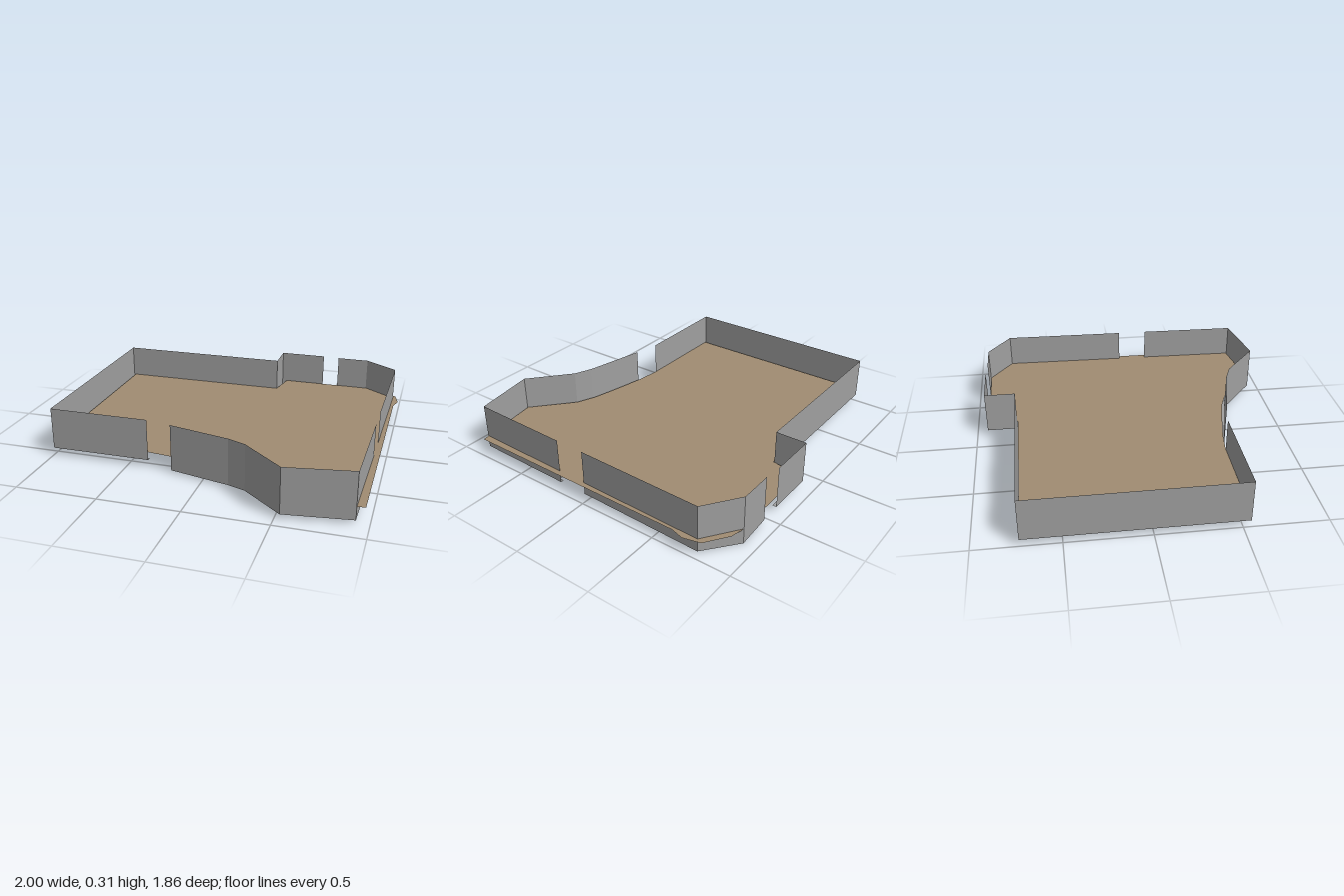
import * as THREE from 'three';

const grey = new THREE.MeshStandardMaterial({ color: 0xa0a0a0, side: THREE.DoubleSide, flatShading: true });
grey.name = 'wall grey';
const brown = new THREE.MeshStandardMaterial({ color: 0xa08c72, side: THREE.DoubleSide });
brown.name = 'floor brown';

const WALL_TOP = 0.308, WALL_BOTTOM = 0.045, FLOOR_Y = 0.098;

// Point list moved inwards by d, with mitred corners
function inset(path, d) {
  const normals = path.slice(1).map((p, i) => {
    const dx = p[0] - path[i][0], dz = p[1] - path[i][1], l = Math.hypot(dx, dz);
    return [-dz / l, dx / l];
  });
  return path.map((p, i) => {
    const a = normals[Math.max(0, i - 1)], b = normals[Math.min(i, normals.length - 1)];
    const k = d / (1 + a[0] * b[0] + a[1] * b[1]);
    return [p[0] + (a[0] + b[0]) * k, p[1] + (a[1] + b[1]) * k];
  });
}

// Strip between two rows of 3D points
function strip(name, rowA, rowB) {
  const pos = [], index = [];
  rowA.forEach((p, i) => {
    pos.push(...p, ...rowB[i]);
    if (i) {
      const k = 2 * i;
      index.push(k - 2, k - 1, k, k, k - 1, k + 1);
    }
  });
  const g = new THREE.BufferGeometry();
  g.setAttribute('position', new THREE.Float32BufferAttribute(pos, 3));
  g.setIndex(index);
  const flat = g.toNonIndexed();
  flat.computeVertexNormals();
  const m = new THREE.Mesh(flat, grey);
  m.name = name;
  return m;
}
const lift = (path, y) => path.map((p, i) => [p[0], Array.isArray(y) ? y[i] : y, p[1]]);

// Wall runs, broken by three doorways; skirt gives the lower edge heights
const runs = [
  { name: 'longCorner',
    path: [[-0.37, 0.545], [-1, 0.545], [-1, -0.735], [0.125, -0.735], [0.125, -0.93], [0.43, -0.93]] },
  { name: 'backCorner',
    path: [[0.54, -0.92], [0.75, -0.92], [0.96, -0.77], [0.943, 0.035]],
    skirt: [0.02, 0.0, 0.015, 0.02] },
  { name: 'frontCurve',
    path: [[0.94, 0.225], [0.925, 0.86], [0.53, 0.925], [0.28, 0.71], [0.17, 0.665], [0.04, 0.635], [-0.21, 0.578]],
    skirt: [0.02, 0.02, 0.028, 0.02, 0.016, 0.015, 0.015] },
];

export function createModel() {
  const model = new THREE.Group();
  model.name = 'walledFloor';

  for (const { name, path, skirt } of runs) {
    const group = new THREE.Group();
    group.name = name;
    group.add(strip('wall', lift(path, WALL_TOP), lift(path, WALL_BOTTOM)));
    group.add(strip('ledge', lift(path, WALL_BOTTOM), lift(inset(path, 0.025), WALL_BOTTOM)));
    if (skirt) {
      group.add(strip('skirt', lift(path, WALL_BOTTOM), lift(path, skirt)));
      group.add(strip('skirtLip', lift(path, skirt), lift(inset(path, 0.02), skirt)));
    }
    model.add(group);
  }

  // Small ledge triangle at the back notch
  model.add(strip('notchLedge',
    [[0.125, WALL_BOTTOM, -0.735], [0.125, WALL_BOTTOM, -0.93]],
    [[0.13, WALL_BOTTOM, -0.735], [0.175, WALL_BOTTOM, -0.93]]));

  // Floor sheet, slightly overhanging the right-hand wall
  const outline = [
    [-0.987, 0.54], [-0.987, -0.73], [0.125, -0.73], [0.16, -0.917], [0.77, -0.917], [0.84, -0.9],
    [0.975, -0.805], [1, -0.7], [0.977, -0.62], [0.972, 0.848], [0.535, 0.917], [0.29, 0.7],
    [0.17, 0.65], [0.04, 0.618], [-0.21, 0.565], [-0.37, 0.545],
  ];
  const shape = new THREE.Shape(outline.map(([x, z]) => new THREE.Vector2(x, -z)));
  const floor = new THREE.Mesh(new THREE.ShapeGeometry(shape).rotateX(-Math.PI / 2), brown);
  floor.position.y = FLOOR_Y;
  floor.name = 'floor';
  model.add(floor);

  return model;
}
